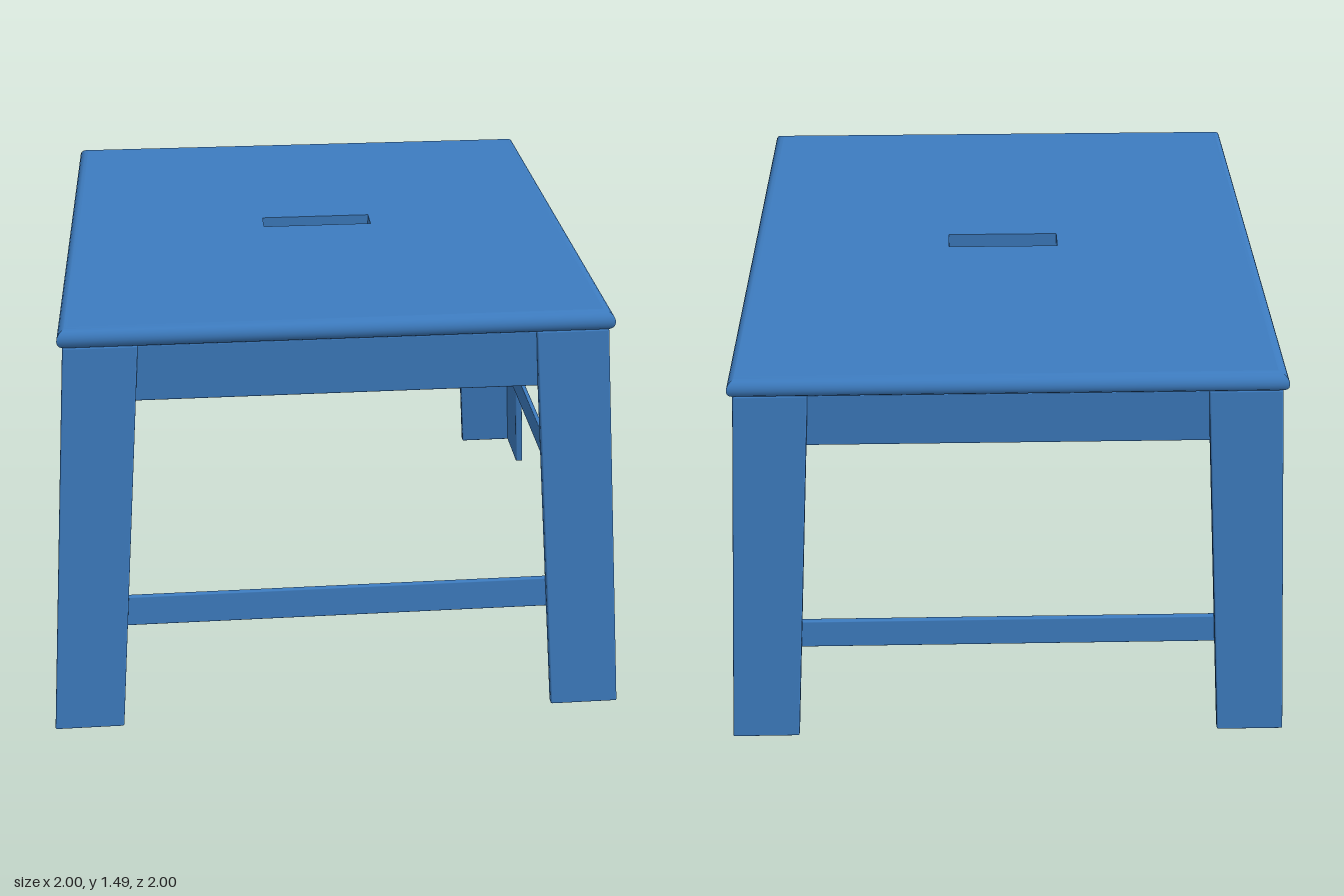
import * as THREE from 'three';
import { toCreasedNormals } from 'three/addons/utils/BufferGeometryUtils.js';
import { RoundedBoxGeometry } from 'three/addons/geometries/RoundedBoxGeometry.js';

const SPLAY = 0.081; // inward lean of the legs per unit of height
const SEAT_BOTTOM = 1.415, SEAT_TOP = 1.485, SEAT_HALF = 0.9;

export function createModel() {
  const stool = new THREE.Group();
  stool.name = 'stool';
  const bluePaint = new THREE.MeshStandardMaterial({ color: 0x3d7cc0 });
  bluePaint.name = 'bluePaint';

  function add(name, geometry, parent = stool) {
    const mesh = new THREE.Mesh(geometry, bluePaint);
    mesh.name = name;
    parent.add(mesh);
    return mesh;
  }

  // Softly rounded board, sheared so it leans in towards the seat
  function board(size, centre, leanX, leanZ, radius = 0.006) {
    const geometry = new RoundedBoxGeometry(...size, 2, radius);
    geometry.translate(...centre);
    geometry.applyMatrix4(new THREE.Matrix4().set(
      1, -leanX * SPLAY, 0, 0,
      0, 1, 0, 0,
      0, -leanZ * SPLAY, 1, 0,
      0, 0, 0, 1));
    return geometry;
  }

  // Seat panel with a hand slot through it
  const seat = new THREE.Group();
  seat.name = 'seat';
  stool.add(seat);
  const radius = (SEAT_TOP - SEAT_BOTTOM) / 2;
  const core = SEAT_HALF - radius;
  const rectangle = (Type, w, d) => new Type([
    new THREE.Vector2(-w, -d), new THREE.Vector2(w, -d),
    new THREE.Vector2(w, d), new THREE.Vector2(-w, d)]);
  const panelShape = rectangle(THREE.Shape, core, core);
  panelShape.holes.push(rectangle(THREE.Path, 0.195, 0.044));
  const panel = new THREE.ExtrudeGeometry(panelShape, { depth: 2 * radius, bevelEnabled: false });
  panel.rotateX(-Math.PI / 2).translate(0, SEAT_BOTTOM, 0);
  add('seatPanel', panel, seat);

  // Half-round seat edge, mitred at the four corners
  const profile = [];
  for (let i = 0; i <= 10; i++) {
    const a = -Math.PI / 2 + (i / 10) * Math.PI;
    profile.push(new THREE.Vector2(
      (core + radius * Math.cos(a)) * Math.SQRT2,
      SEAT_BOTTOM + radius + radius * Math.sin(a)));
  }
  const edge = new THREE.LatheGeometry(profile, 4);
  edge.rotateY(Math.PI / 4);
  add('seatEdge', toCreasedNormals(edge, 0.6), seat);

  // Splayed corner legs, each made of two boards in an L
  const legHeight = 1.42, legWidth = 0.24, thick = 0.03;
  for (const sx of [-1, 1]) {
    for (const sz of [-1, 1]) {
      const leg = new THREE.Group();
      leg.name = (sz > 0 ? 'front' : 'back') + (sx > 0 ? 'Left' : 'Right') + 'Leg';
      stool.add(leg);
      add('legFaceBoard', board([legWidth, legHeight, thick],
        [sx * (1 - legWidth / 2), legHeight / 2, sz * (1 - thick / 2)], sx, sz), leg);
      const sideWidth = legWidth - thick;
      add('legSideBoard', board([thick, legHeight, sideWidth],
        [sx * (1 - thick / 2), legHeight / 2, sz * (1 - thick - sideWidth / 2)], sx, sz), leg);
    }
  }

  // Upright aprons under the seat and leaning rails between the legs
  for (const s of [-1, 1]) {
    const ends = s > 0 ? 'front' : 'back', sides = s > 0 ? 'left' : 'right';
    add(ends + 'Apron', board([1.75, 0.2, 0.03], [0, 1.32, s * 0.865], 0, 0));
    add(sides + 'Apron', board([0.03, 0.2, 1.75], [s * 0.865, 1.32, 0], 0, 0));
    add(ends + 'Rail', board([1.88, 0.11, 0.018], [0, 0.445, s * 0.971], 0, s, 0.004));
    add(sides + 'Rail', board([0.018, 0.11, 1.88], [s * 0.971, 0.445, 0], s, 0, 0.004));
  }

  return stool;
}
